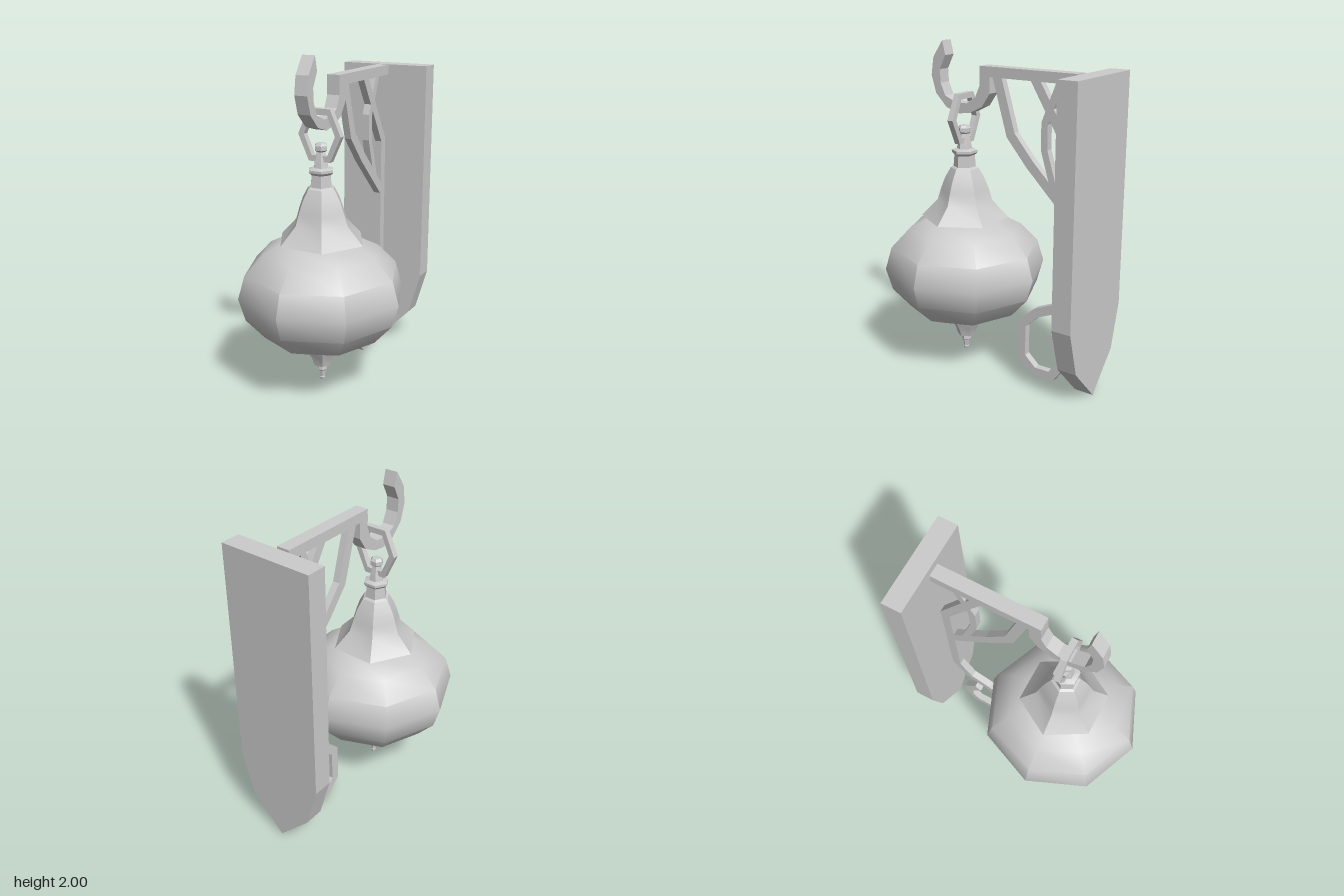
import * as THREE from 'three';
import { toCreasedNormals } from 'three/addons/utils/BufferGeometryUtils.js';

const LAMP_Z = 0.215;
const V = (pts) => pts.map(([x, y]) => new THREE.Vector2(x, y));

export function createModel() {
  const group = new THREE.Group();
  const material = new THREE.MeshStandardMaterial({ color: 0xcccccc });

  const add = (name, geometry) => {
    const mesh = new THREE.Mesh(geometry, material);
    mesh.name = name;
    group.add(mesh);
    return mesh;
  };

  // Flat slab of the given thickness, centred on its own plane
  const slab = (shape, depth) =>
    new THREE.ExtrudeGeometry(shape, { depth, bevelEnabled: false }).translate(0, 0, -depth / 2);

  // Slab standing in the z-y plane, centred on x = 0
  const sideSlab = (points, width) => slab(new THREE.Shape(points), width).rotateY(-Math.PI / 2);

  // Mitred flat bar following a z-y path
  const bar = (path, thickness, width) => {
    const p = V(path), left = [], right = [];
    p.forEach((c, i) => {
      const a = c.clone().sub(p[Math.max(i - 1, 0)]).normalize();
      const b = p[Math.min(i + 1, p.length - 1)].clone().sub(c).normalize();
      const t = a.clone().add(b).normalize();
      const along = i === 0 ? b : a;
      const n = new THREE.Vector2(-t.y, t.x).multiplyScalar(thickness / 2 / t.dot(along));
      left.push(c.clone().add(n));
      right.unshift(c.clone().sub(n));
    });
    return sideSlab([...left, ...right], width);
  };

  // Faceted turned part on the lamp axis
  const turned = (name, profile, sides, crease) => {
    const lathe = new THREE.LatheGeometry(V(profile), sides, Math.PI / 2);
    add(name, toCreasedNormals(lathe, THREE.MathUtils.degToRad(crease))).position.z = LAMP_Z;
  };

  // Wall plate with a pointed foot
  const plate = new THREE.Shape(V([
    [0, 0], [0.21, 0.22], [0.287, 0.49], [0.287, 1.87],
    [-0.287, 1.87], [-0.287, 0.49], [-0.21, 0.22],
  ]));
  add('wallPlate', slab(plate, 0.12)).position.z = -0.655;

  // Horizontal arm and the hook at its end
  add('arm', new THREE.BoxGeometry(0.08, 0.06, 0.645)).position.set(0, 1.84, -0.2525);
  add('hook', sideSlab(V([
    [0, 1.84], [0, 1.715], [0.055, 1.634], [0.14, 1.592], [0.22, 1.58], [0.315, 1.608],
    [0.394, 1.687], [0.426, 1.793], [0.41, 1.9], [0.341, 2],
    [0.32, 1.915], [0.363, 1.83], [0.358, 1.75], [0.325, 1.677], [0.246, 1.645],
    [0.167, 1.645], [0.103, 1.687], [0.071, 1.756], [0.071, 1.84],
  ]), 0.08));

  // Bracket post ending in a scroll, with two braces
  add('scrollPost', bar([
    [-0.29, 1.825], [-0.55, 1.396], [-0.55, 0.638], [-0.463, 0.49], [-0.33, 0.432],
    [-0.225, 0.336], [-0.225, 0.12], [-0.315, 0.04], [-0.437, 0.042], [-0.495, 0.125],
    [-0.495, 0.21], [-0.415, 0.3],
  ], 0.056, 0.044));
  add('mainBrace', bar([[-0.035, 1.825], [-0.135, 1.487], [-0.267, 1.333], [-0.535, 1.07]], 0.06, 0.044));
  add('innerBrace', bar([[-0.46, 1.825], [-0.362, 1.58], [-0.362, 1.428], [-0.435, 1.19]], 0.042, 0.044));

  // Six-sided chain link
  const hexagon = (rx, ry) => V([[rx, 0], [rx / 2, ry], [-rx / 2, ry], [-rx, 0], [-rx / 2, -ry], [rx / 2, -ry]]);
  const link = new THREE.Shape(hexagon(0.137, 0.15));
  link.holes.push(new THREE.Path(hexagon(0.1, 0.115)));
  add('chainLink', slab(link, 0.038)).position.set(0, 1.55, LAMP_Z);

  // Eight-sided lamp globe
  turned('globe', [
    [0, 0.277], [0.11, 0.277], [0.215, 0.294], [0.35, 0.357], [0.46, 0.48], [0.5, 0.617],
    [0.46, 0.755], [0.35, 0.87], [0.24, 0.925], [0, 0.95],
  ], 8, 40);

  // Six-sided cap, collar and knob
  turned('cap', [
    [0, 0.935], [0.27, 0.935], [0.17, 1.04], [0.148, 1.11], [0.122, 1.18], [0.085, 1.245],
    [0.068, 1.255], [0.062, 1.325], [0.078, 1.34], [0.078, 1.355], [0.046, 1.365],
    [0.04, 1.4], [0.026, 1.455], [0.04, 1.465], [0.04, 1.49], [0.028, 1.505], [0, 1.507],
  ], 6, 25);

  // Hanging finial below the globe
  turned('bottomFinial', [
    [0, 0.038], [0.013, 0.038], [0.018, 0.055], [0.015, 0.062], [0.022, 0.1], [0.03, 0.108],
    [0.026, 0.135], [0.055, 0.142], [0.07, 0.19], [0.105, 0.25], [0.115, 0.283], [0, 0.283],
  ], 6, 25);

  return group;
}
